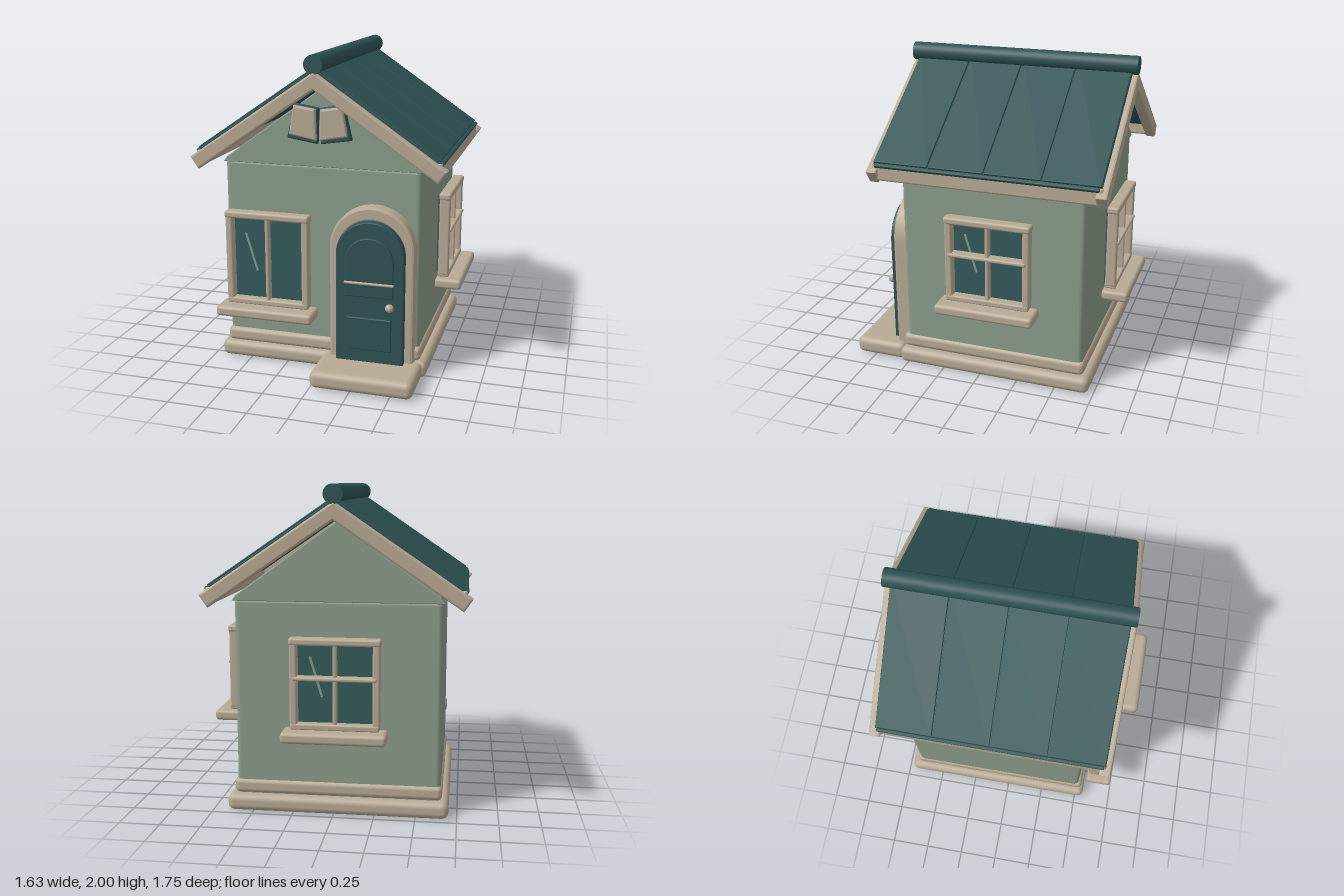
import * as THREE from 'three';
import { RoundedBoxGeometry } from 'three/addons/geometries/RoundedBoxGeometry.js';

const mat = (name, color) => {
  const m = new THREE.MeshStandardMaterial({ color });
  m.name = name;
  return m;
};

export function createModel() {
  const sage = mat('sage wall', 0x8b9c8a);
  const tan = mat('tan trim', 0xb8aa95);
  const teal = mat('dark teal', 0x2e5254);
  const glass = mat('window glass', 0x345a5b);
  const glint = mat('glass glint', 0x869b90);

  const house = new THREE.Group();
  house.name = 'house';
  const CX = -0.02; // centre line of the walls and roof

  const add = (parent, name, geometry, material, x = 0, y = 0, z = 0) => {
    const mesh = new THREE.Mesh(geometry, material);
    mesh.name = name;
    mesh.position.set(x, y, z);
    parent.add(mesh);
    return mesh;
  };
  // Rounded box given by its limits on each axis
  const box = (parent, name, material, [x0, x1], [y0, y1], [z0, z1], r = 0.01) => {
    const w = x1 - x0, h = y1 - y0, d = z1 - z0;
    const g = new RoundedBoxGeometry(w, h, d, 3, Math.min(r, w * 0.49, h * 0.49, d * 0.49));
    return add(parent, name, g, material, (x0 + x1) / 2, (y0 + y1) / 2, (z0 + z1) / 2);
  };
  // Bevelled plate from a shape, filling z0..z1 without growing its outline
  const plate = (parent, name, material, shape, z0, z1, b = 0.01) => {
    const g = new THREE.ExtrudeGeometry(shape, {
      depth: z1 - z0 - 2 * b, bevelEnabled: true, bevelSize: b, bevelThickness: b,
      bevelOffset: -b, bevelSegments: 2, curveSegments: 24,
    });
    return add(parent, name, g, material, 0, 0, z0 + b);
  };
  const polygon = (pts) => new THREE.Shape(pts.map(([x, y]) => new THREE.Vector2(x, y)));

  // Foundation, skirting, walls and doorstep
  box(house, 'foundation', tan, [-0.70, 0.66], [0, 0.105], [-0.72, 0.555], 0.04);
  box(house, 'skirting', tan, [-0.66, 0.62], [0.105, 0.195], [-0.68, 0.535], 0.03);
  box(house, 'walls', sage, [-0.65, 0.605], [0.08, 1.32], [-0.665, 0.51], 0.03);
  box(house, 'doorstep', tan, [0, 0.64], [0.005, 0.115], [0.53, 0.875], 0.04);

  // Gable block closing both ends under the roof
  plate(house, 'gable', sage, polygon([
    [CX - 0.64, 1.305], [CX + 0.64, 1.305], [CX + 0.615, 1.34], [CX, 1.785], [CX - 0.615, 1.34],
  ]), -0.672, 0.518, 0.006);

  // Roof: two slopes of four panels each, with eave strips and fascias
  const angle = Math.atan(0.683);
  const slopeLength = 0.78 / Math.cos(angle);
  const zBack = -0.782, zFront = 0.63, panelDepth = (zFront - zBack) / 4;
  for (const s of [-1, 1]) {
    const slope = new THREE.Group();
    slope.name = s < 0 ? 'rightRoofSlope' : 'leftRoofSlope';
    slope.position.set(CX, 1.93, 0);
    slope.rotation.z = -s * angle;
    house.add(slope);
    const span = (a, b) => (s > 0 ? [a, b] : [-b, -a]);
    box(slope, 'roofDeck', teal, span(0, slopeLength - 0.01), [-0.055, -0.012], [zBack, zFront], 0.005);
    for (let i = 0; i < 4; i++) {
      const z = zBack + i * panelDepth;
      box(slope, 'roofPanel', teal, span(0, slopeLength - 0.028), [-0.03, 0],
        [z + 0.003, z + panelDepth - 0.003], 0.005);
    }
    box(slope, 'eaveStrip', teal, span(slopeLength - 0.025, slopeLength), [-0.04, -0.004],
      [zBack + 0.01, zFront - 0.01], 0.008);
    const x = CX + s * 0.745;
    box(house, 'eaveFascia', tan, [x - 0.022, x + 0.022], [1.295, 1.4], [-0.79, 0.635], 0.015);
  }

  // Barge boards at both ends, each one chevron
  for (const [name, z0, z1] of [['frontBargeBoard', 0.595, 0.665], ['backBargeBoard', -0.82, -0.75]]) {
    plate(house, name, tan, polygon([
      [CX, 1.9], [CX - 0.8, 1.355], [CX - 0.748, 1.28], [CX, 1.793],
      [CX + 0.748, 1.28], [CX + 0.8, 1.355],
    ]), z0, z1, 0.012);
  }

  // Ridge roll
  const ridge = add(house, 'ridgeRoll', new THREE.CylinderGeometry(0.058, 0.058, 1.48, 32), teal, CX, 1.942, -0.078);
  ridge.rotation.x = Math.PI / 2;

  // Pair of slanted flaps on the front gable
  for (const s of [-1, 1]) {
    const flap = (pts) => polygon(pts.map(([x, y]) => [CX + s * x, y]));
    plate(house, 'gableFlapBacking', teal, flap([[0.005, 1.672], [0.153, 1.695], [0.202, 1.485], [0.012, 1.455]]),
      0.51, 0.56, 0.01);
    plate(house, 'gableFlap', tan, flap([[0.016, 1.668], [0.152, 1.688], [0.182, 1.512], [0.01, 1.48]]),
      0.55, 0.585, 0.01);
  }

  // Door, built around its own centre line
  const door = new THREE.Group();
  door.name = 'door';
  door.position.x = 0.32;
  house.add(door);
  const arch = (r, y0, yc) => {
    const p = new THREE.Shape();
    p.moveTo(-r, y0);
    p.lineTo(r, y0);
    p.lineTo(r, yc);
    p.absarc(0, yc, r, 0, Math.PI, false);
    p.closePath();
    return p;
  };
  const surround = new THREE.Shape();
  surround.moveTo(-0.265, 0.1);
  surround.lineTo(-0.265, 0.83);
  surround.absarc(0, 0.83, 0.265, Math.PI, 0, true);
  surround.lineTo(0.265, 0.1);
  surround.lineTo(0.2, 0.1);
  surround.lineTo(0.2, 0.81);
  surround.absarc(0, 0.81, 0.2, 0, Math.PI, false);
  surround.lineTo(-0.2, 0.1);
  plate(door, 'doorSurround', tan, surround, 0.48, 0.595, 0.014);
  plate(door, 'doorLeaf', teal, arch(0.213, 0.11, 0.803), 0.5, 0.64, 0.008);
  plate(door, 'upperDoorPanel', teal, arch(0.15, 0.545, 0.77), 0.63, 0.658, 0.006);
  box(door, 'lowerDoorPanel', teal, [-0.14, 0.14], [0.2, 0.41], [0.63, 0.658], 0.006);
  box(door, 'doorRail', tan, [-0.155, 0.155], [0.627, 0.643], [0.645, 0.668], 0.007);
  add(door, 'doorKnob', new THREE.SphereGeometry(0.026, 24, 16), tan, 0.135, 0.5, 0.68);
  const stem = add(door, 'knobStem', new THREE.CylinderGeometry(0.01, 0.01, 0.05, 16), tan, 0.135, 0.5, 0.65);
  stem.rotation.x = Math.PI / 2;

  // Window: local x across, y from the sill bottom, z outward from its back
  const makeWindow = (name, height, crossBar, glintTop) => {
    const g = new THREE.Group();
    g.name = name;
    const top = height, hw = 0.272, bottom = 0.08;
    box(g, 'glassPane', glass, [-0.245, 0.245], [bottom + 0.01, top - 0.02], [0, 0.025], 0.003);
    for (const s of [-1, 1]) {
      const x = s * 0.248;
      box(g, 'windowStile', tan, [x - 0.022, x + 0.022], [bottom, top - 0.01], [0.012, 0.08], 0.012);
    }
    box(g, 'topRail', tan, [-hw - 0.003, hw + 0.003], [top - 0.045, top], [0.008, 0.085], 0.015);
    box(g, 'bottomRail', tan, [-hw + 0.005, hw - 0.005], [bottom - 0.015, bottom + 0.022], [0.01, 0.082], 0.01);
    box(g, 'mullion', tan, [-0.011, 0.011], [bottom, top - 0.02], [0.015, 0.075], 0.008);
    if (crossBar) {
      box(g, 'crossBar', tan, [-0.25, 0.25], [crossBar - 0.012, crossBar + 0.012], [0.02, 0.092], 0.01);
    }
    box(g, 'windowSill', tan, [-0.315, 0.315], [0, 0.067], [0, 0.17], 0.022);
    const streak = add(g, 'glassGlint', new THREE.BoxGeometry(0.014, 0.255, 0.004), glint, -0.117, glintTop - 0.12, 0.026);
    streak.rotation.z = 0.29;
    house.add(g);
    return g;
  };
  makeWindow('frontWindow', 0.67, 0, 0.52).position.set(-0.342, 0.348, 0.558);
  const side = makeWindow('sideWindow', 0.62, 0.377, 0.5);
  side.position.set(0.645, 0.485, -0.085);
  side.rotation.y = Math.PI / 2;
  const back = makeWindow('backWindow', 0.62, 0.377, 0.5);
  back.position.set(CX, 0.485, -0.703);
  back.rotation.y = Math.PI;

  return house;
}
